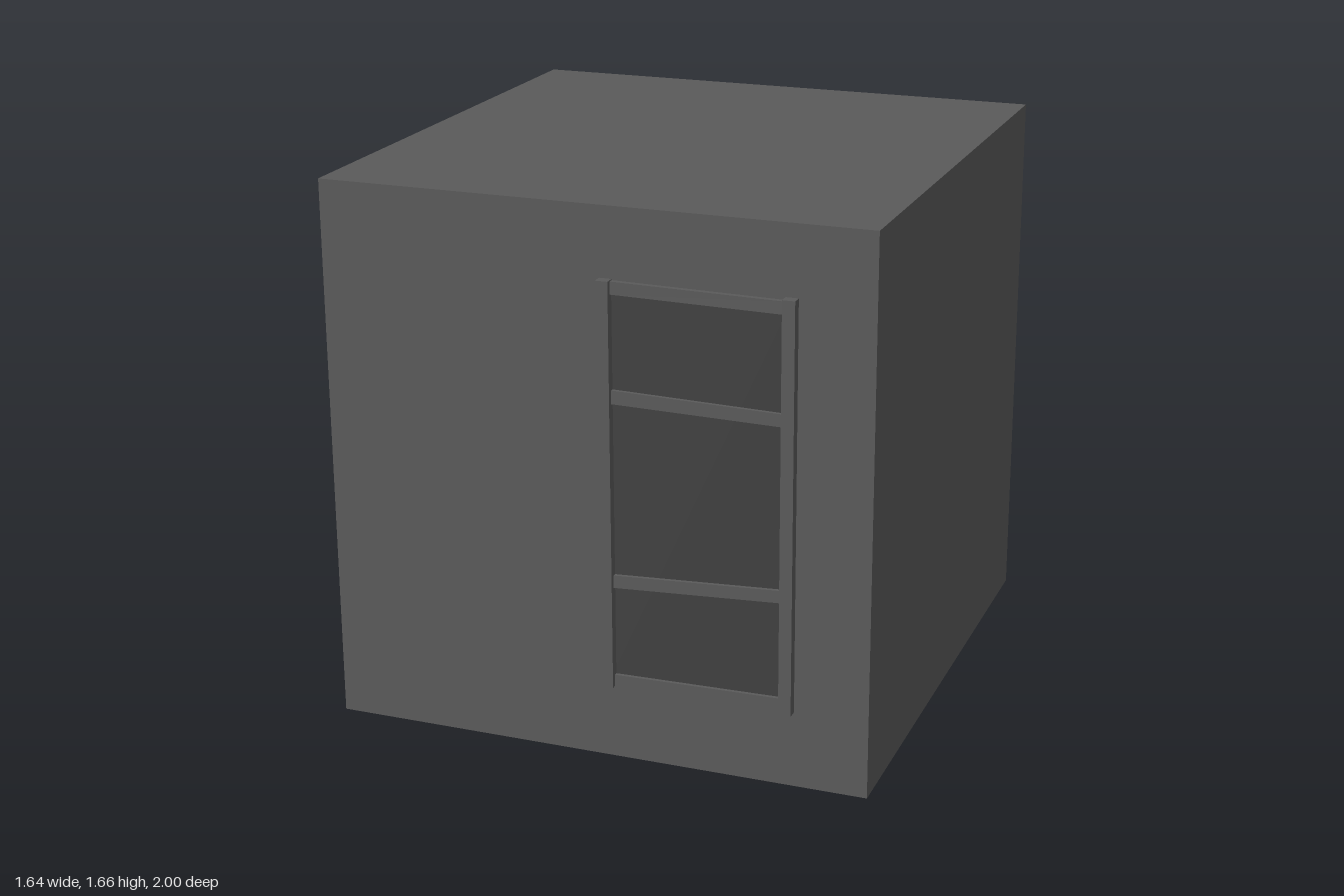
import * as THREE from 'three';

const paint = (color) => new THREE.MeshStandardMaterial({ color, flatShading: true, side: THREE.DoubleSide });
const wallMat = paint(0x5a5a5a), darkMat = paint(0x404040), glassMat = paint(0x85807c);

function add(parent, name, geometry, material = wallMat) {
  const mesh = new THREE.Mesh(geometry, material);
  mesh.name = name;
  parent.add(mesh);
  return mesh;
}

// Box given by its low and high limits on each axis
function block(parent, name, [x0, x1], [y0, y1], [z0, z1], material) {
  const mesh = add(parent, name, new THREE.BoxGeometry(x1 - x0, y1 - y0, z1 - z0), material);
  mesh.position.set((x0 + x1) / 2, (y0 + y1) / 2, (z0 + z1) / 2);
  return mesh;
}

const polygon = (points, Type = THREE.Shape) => new Type(points.map(([x, y]) => new THREE.Vector2(x, y)));
const rect = (x0, x1, y0, y1) => [[x0, y0], [x1, y0], [x1, y1], [x0, y1]];

// Outline with holes, extruded from z0 to z1
function slab(outline, holes, z0, z1) {
  const shape = polygon(outline);
  shape.holes = holes.map((hole) => polygon(hole, THREE.Path));
  const geometry = new THREE.ExtrudeGeometry(shape, { depth: z1 - z0, bevelEnabled: false });
  return geometry.translate(0, 0, z0);
}

// Window frame: two stiles and four slightly crooked rails, projecting along +z
function makeFrame(name, stileDepth, railDepth) {
  const frame = new THREE.Group();
  frame.name = name;
  for (const x of [0.03, 0.565]) block(frame, 'windowStile', [x, x + 0.037], [0.245, 1.455], [-0.01, stileDepth]);
  // lower edge and upper edge at the left end, then at the right end
  const rails = [
    [0.245, 0.28, 0.247, 0.288],
    [0.55, 0.588, 0.578, 0.615],
    [1.10, 1.14, 1.093, 1.13],
    [1.415, 1.452, 1.41, 1.447],
  ];
  for (const [a, b, c, d] of rails) {
    add(frame, 'windowRail', slab([[0.065, a], [0.567, c], [0.567, d], [0.065, b]], [], -0.01, railDepth));
  }
  return frame;
}

function makeDoor() {
  const door = new THREE.Group();
  door.name = 'door';
  // leaf with a window opening
  const opening = rect(-0.145, 0.145, 0.63, 0.985);
  add(door, 'doorLeaf', slab(rect(-0.242, 0.242, 0, 1.075), [opening], -0.0165, 0.0165));
  add(door, 'doorWindowFrame', slab(opening, [rect(-0.132, 0.132, 0.645, 0.97)], -0.021, 0.021));
  block(door, 'doorGlass', [-0.135, 0.135], [0.64, 0.975], [-0.005, 0.005], glassMat);
  // push bar standing off the outer face, with cut corners
  const bar = add(door, 'doorPushBar', slab(
    [[-0.205, 0.016], [0.205, 0.016], [0.205, 0.03], [0.19, 0.042], [-0.19, 0.042], [-0.205, 0.03]],
    [[[-0.19, 0.02], [0.19, 0.02], [0.19, 0.027], [0.183, 0.032], [-0.183, 0.032], [-0.19, 0.027]]],
    -0.015, 0.015));
  bar.rotation.x = -Math.PI / 2;
  bar.position.y = 0.53;
  door.position.set(-0.382, 0, -0.838);
  door.rotation.y = 0.686;
  return door;
}

export function createModel() {
  const model = new THREE.Group();
  model.name = 'house';

  // Walls: deep window and door openings at the back, solid at the front
  const windowHole = rect(0.05, 0.58, 0.26, 1.435);
  const doorHole = rect(-0.58, -0.18, 0.02, 1.07);
  const outline = rect(-0.82, 0.82, 0.015, 1.66);
  add(model, 'houseBack', slab(outline, [windowHole, doorHole], -0.675, 0.6));
  add(model, 'houseFront', slab(outline, [], 0.6, 0.97));

  // Front window with dark panes
  const front = makeFrame('frontWindow', 0.03, 0.015);
  front.position.z = 0.97;
  model.add(front);
  block(model, 'frontPanes', [0.05, 0.58], [0.26, 1.435], [0.965, 0.974], darkMat);

  // Back window: open at the top, with a broken lower pane
  const back = makeFrame('backWindow', 0.015, 0.01);
  back.scale.z = -1;
  back.position.z = -0.675;
  model.add(back);
  add(model, 'backMiddlePane', slab([[0.05, 0.57], [0.58, 0.6], [0.58, 1.11], [0.05, 1.12]], [], -0.678, -0.672));
  add(model, 'backBrokenPane', slab([[0.05, 0.26], [0.58, 0.26], [0.58, 0.455], [0.425, 0.4], [0.05, 0.57]], [], -0.678, -0.672));

  model.add(makeDoor());
  return model;
}
